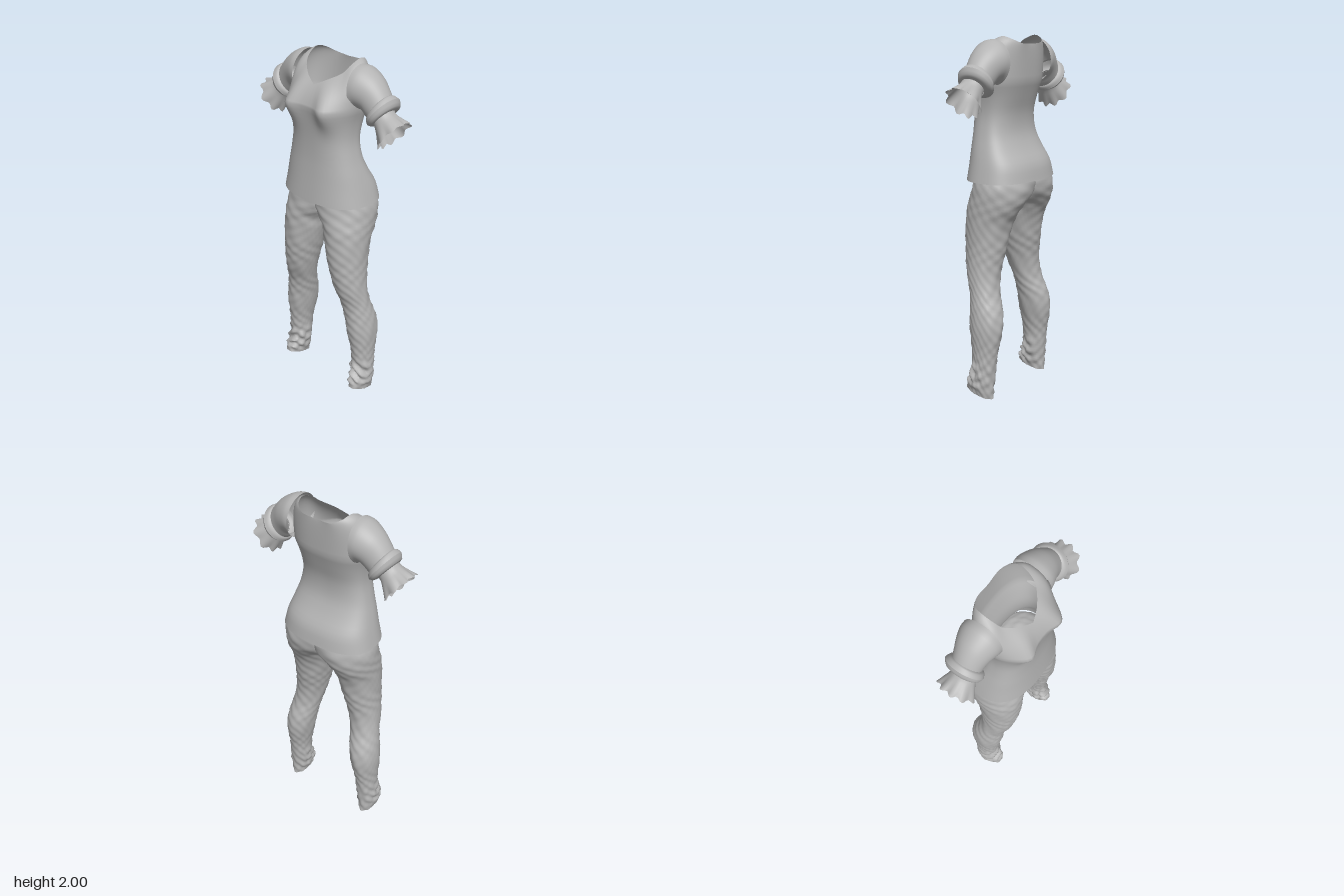
import * as THREE from 'three';

// Skin a stack of closed rings (arrays of Vector3); faces lying in the x = 0 plane are left out
function loft(rings) {
  const n = rings[0].length, index = [];
  const flat = rings.flat();
  const quad = (a, b, c, d) => {
    if ([a, b, c, d].every((k) => Math.abs(flat[k].x) < 1e-6)) return;
    index.push(a, b, c, a, c, d);
  };
  for (let r = 0; r < rings.length - 1; r++) {
    for (let i = 0; i < n; i++) {
      const j = (i + 1) % n;
      quad(r * n + i, r * n + j, (r + 1) * n + j, (r + 1) * n + i);
    }
  }
  const g = new THREE.BufferGeometry().setFromPoints(flat);
  g.setIndex(index);
  g.computeVertexNormals();
  return g;
}

// Smooth lookup in a table whose first column rises
function table(rows) {
  const size = rows[0].length - 1;
  const f = new THREE.CubicInterpolant(rows.map((r) => r[0]), rows.flatMap((r) => r.slice(1)), size, new Float32Array(size));
  return (y) => Array.from(f.evaluate(y));
}

const pow = (v, e) => Math.sign(v) * Math.abs(v) ** e;
const bell = (v, w) => Math.exp(-(v * v) / (w * w));
const V = (x, y, z) => new THREE.Vector3(x, y, z);

// Shirt body: y, half width, front z, back z
const body = table([
  [1.225, 0.283, 0.19, -0.195],
  [1.315, 0.262, 0.18, -0.175],
  [1.395, 0.24, 0.172, -0.125],
  [1.475, 0.217, 0.166, -0.09],
  [1.58, 0.198, 0.166, -0.085],
  [1.68, 0.205, 0.174, -0.11],
  [1.76, 0.225, 0.183, -0.135],
]);

// Half of the neckline, from centre back to the point of the V
const neckline = new THREE.CatmullRomCurve3([
  V(0, 1.957, -0.14), V(0.09, 1.963, -0.14), V(0.138, 1.985, -0.11), V(0.153, 2, -0.06),
  V(0.147, 1.975, 0.005), V(0.13, 1.94, 0.045), V(0.065, 1.9, 0.098), V(0, 1.867, 0.125),
]);

function shirtGeometry() {
  const N = 64, rings = [];
  const bodyPoint = (t, s, y) => {
    const [w, zf, zb] = body(y), zc = (zf + zb) / 2 - 0.02, a = t * Math.PI;
    const x = w * pow(Math.sin(a), 2 / 2.5), c = -pow(Math.cos(a), 2 / 2.5);
    let z = zc + c * (c > 0 ? zf - zc : zc - zb);
    if (c > 0) z += 0.045 * bell(x - 0.125, 0.055) * bell(y - 1.755, 0.09);
    return V(s * x, y, z);
  };
  const each = (fn) => Array.from({ length: N }, (_, i) => {
    const u = (2 * i) / N;
    return u <= 1 ? fn(u, 1) : fn(2 - u, -1);
  });
  for (let k = 0; k <= 20; k++) rings.push(each((t, s) => bodyPoint(t, s, 1.225 + (0.535 * k) / 20)));
  // shoulders: bend from the chest ring in to the neckline
  for (let k = 1; k <= 12; k++) {
    rings.push(each((t, s) => {
      const p = bodyPoint(t, s, 1.76), q = neckline.getPoint(t);
      q.x *= s;
      const round = 0.9 - 0.7 * THREE.MathUtils.smoothstep(t, 0.5, 0.78);
      const corner = V(p.x * 1.1, q.y - 0.015, p.z * 1.08);
      const ctrl = p.clone().lerp(q, 0.5).lerp(corner, round);
      return new THREE.QuadraticBezierCurve3(p, ctrl, q).getPoint(k / 12);
    }));
  }
  return loft(rings);
}

// Arm sections: top x, top y, bottom x, bottom y, back z, front z
const sleeveRows = [
  [0.19, 1.985, 0.205, 1.74, -0.14, 0.09],
  [0.235, 1.978, 0.222, 1.755, -0.138, 0.085],
  [0.3, 1.94, 0.246, 1.748, -0.125, 0.07],
  [0.345, 1.895, 0.262, 1.725, -0.112, 0.06],
  [0.375, 1.855, 0.277, 1.71, -0.105, 0.055],
];
const flareRows = [
  [0.372, 1.86, 0.275, 1.71, -0.105, 0.055],
  [0.383, 1.862, 0.276, 1.7, -0.12, 0.07],
  [0.405, 1.85, 0.287, 1.685, -0.132, 0.08],
];
const bandRows = [
  [0.405, 1.85, 0.287, 1.685, -0.132, 0.08],
  [0.415, 1.815, 0.305, 1.685, -0.12, 0.07],
  [0.4, 1.79, 0.325, 1.695, -0.085, 0.05],
];
const ruffleRows = [
  [0.395, 1.795, 0.32, 1.7, -0.08, 0.05],
  [0.42, 1.775, 0.337, 1.675, -0.08, 0.055],
  [0.455, 1.762, 0.355, 1.635, -0.095, 0.07],
  [0.495, 1.748, 0.375, 1.592, -0.112, 0.088],
];

function armGeometry(rows, s, steps, wave = 0) {
  const at = table(rows.map((r, i) => [i, ...r]));
  const N = 48, rings = [];
  for (let k = 0; k <= steps; k++) {
    const f = k / steps, [tx, ty, bx, by, z0, z1] = at(f * (rows.length - 1));
    const ring = [];
    for (let i = 0; i < N; i++) {
      const a = (s * i * 2 * Math.PI) / N;
      const fold = wave * f * f * Math.sin(9 * a + Math.sin(2 * a));
      const c = (Math.cos(a) * (1 + fold)) / 2, d = (Math.sin(a) * (1 + fold)) / 2;
      const out = fold * 0.07;
      ring.push(V(s * ((tx + bx) / 2 + c * (tx - bx) + out * 0.8), (ty + by) / 2 + c * (ty - by) - out * 0.6, (z0 + z1) / 2 + d * (z1 - z0)));
    }
    rings.push(ring);
  }
  return loft(rings);
}

// Trouser leg: y, inner x, outer x, front z, back z
const leg = table([
  [0, 0.218, 0.312, 0.105, -0.065],
  [0.06, 0.206, 0.325, 0.095, -0.067],
  [0.14, 0.197, 0.324, 0.07, -0.072],
  [0.25, 0.195, 0.32, 0.066, -0.083],
  [0.42, 0.163, 0.326, 0.088, -0.11],
  [0.5, 0.15, 0.318, 0.092, -0.1],
  [0.6, 0.13, 0.3, 0.103, -0.066],
  [0.7, 0.105, 0.288, 0.135, -0.057],
  [0.85, 0.066, 0.28, 0.158, -0.08],
  [1, 0.026, 0.283, 0.161, -0.112],
  [1.08, 0, 0.286, 0.157, -0.155],
  [1.13, -0.06, 0.287, 0.15, -0.178],
  [1.2, -0.12, 0.284, 0.14, -0.188],
  [1.3, -0.13, 0.25, 0.13, -0.16],
]);

function legGeometry(s) {
  const N = 48, rows = 100, rings = [];
  for (let k = 0; k <= rows; k++) {
    const y = (1.3 * k) / rows, [xi, xo, zf, zb] = leg(y);
    const ankle = THREE.MathUtils.smoothstep(y, 0, 0.05) * (1 - THREE.MathUtils.smoothstep(y, 0.14, 0.27));
    const slope = 1 - THREE.MathUtils.smoothstep(y, 0, 0.16);
    const ring = [];
    for (let i = 0; i < N; i++) {
      const a = (s * i * 2 * Math.PI) / N, c = Math.cos(a), d = Math.sin(a);
      // fine cloth creases, with heavy bunching above the hem
      const fine = 0.0016 * (Math.sin(7 * a + 61 * y + 2 * Math.sin(23 * y)) + Math.sin(11 * a - 97 * y + 3 * Math.sin(2 * a)));
      const bunch = 0.007 * ankle * (0.7 + 0.5 * d) * (Math.sin(95 * y + 3 * Math.sin(2 * a + 1)) + 0.7 * Math.sin(5 * a - 70 * y));
      const w = fine + bunch;
      const x = (xi + xo) / 2 + c * ((xo - xi) / 2 + w);
      const z = (zf + zb) / 2 + d * ((zf - zb) / 2 + w);
      ring.push(V(s * Math.max(0, x), y + slope * 0.27 * Math.max(0, z + 0.065), z));
    }
    rings.push(ring);
  }
  return loft(rings);
}

export function createModel() {
  const model = new THREE.Group();
  model.name = 'outfit';
  const cloth = new THREE.MeshStandardMaterial({ color: 0xb4b4b4, side: THREE.DoubleSide });
  cloth.name = 'grey cloth';
  const add = (name, geometry) => {
    const mesh = new THREE.Mesh(geometry, cloth);
    mesh.name = name;
    model.add(mesh);
  };

  add('shirtBody', shirtGeometry());
  for (const [side, s] of [['left', 1], ['right', -1]]) {
    add(side + 'Sleeve', armGeometry(sleeveRows, s, 12));
    add(side + 'CuffFlare', armGeometry(flareRows, s, 4));
    add(side + 'CuffBand', armGeometry(bandRows, s, 4));
    add(side + 'Ruffle', armGeometry(ruffleRows, s, 8, 0.09));
    add(side + 'TrouserLeg', legGeometry(s));
  }
  return model;
}
